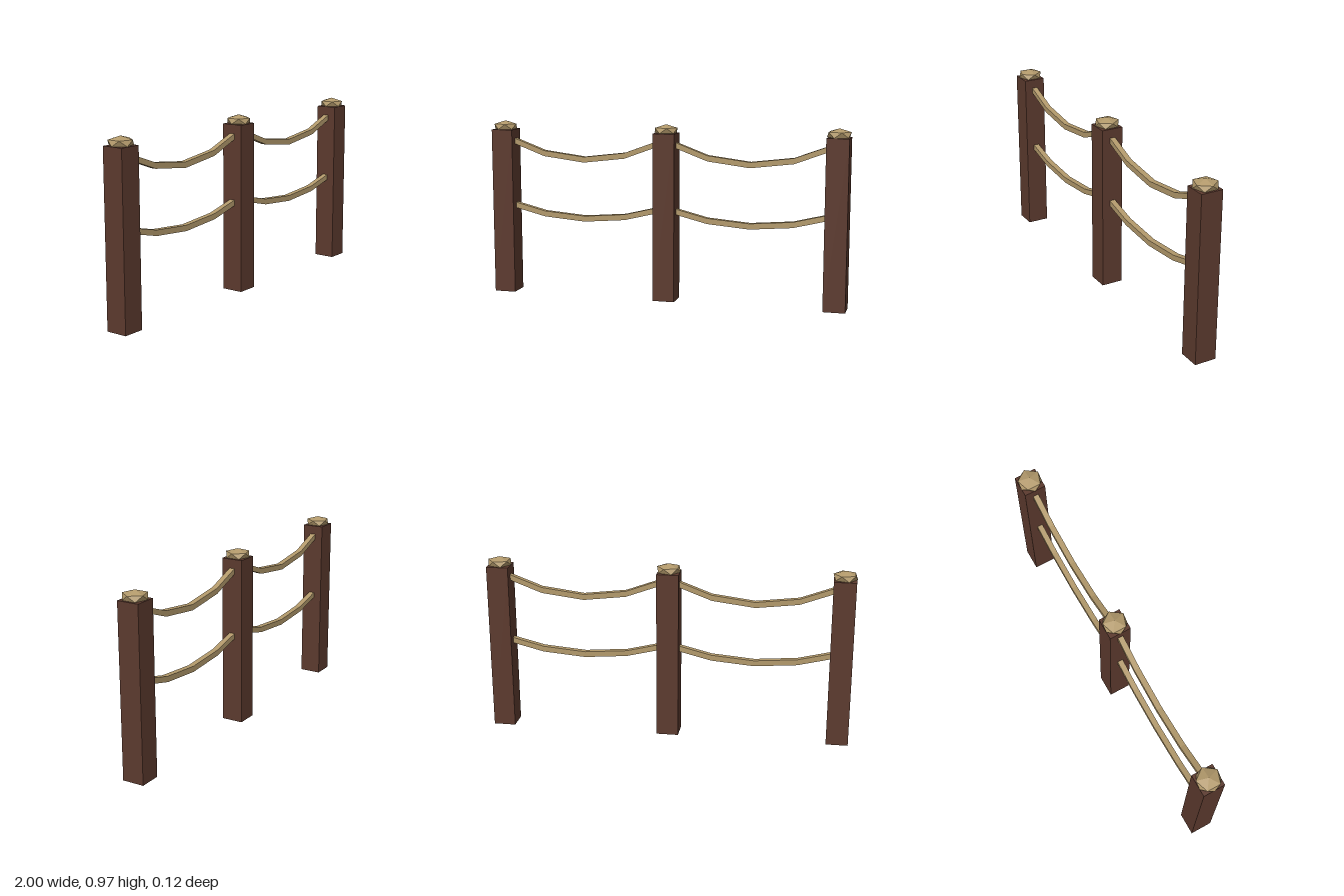
import * as THREE from 'three';

const SPACING = 0.936;
const POST_HEIGHT = 0.924;
const POST_WIDTH = 0.12;
const ROPE = 0.031;

// Sagging strip of straight segments, extruded to a square section
function ropeGeometry(endY, sag, segments = 4) {
  const top = [], bottom = [];
  for (let i = 0; i <= segments; i++) {
    const u = (i / segments) * 2 - 1;
    const x = u * SPACING / 2;
    const y = endY - sag * (1 - u * u);
    top.push(new THREE.Vector2(x, y + ROPE / 2));
    bottom.unshift(new THREE.Vector2(x, y - ROPE / 2));
  }
  const shape = new THREE.Shape([...top, ...bottom]);
  return new THREE.ExtrudeGeometry(shape, { depth: ROPE, bevelEnabled: false }).translate(0, 0, -ROPE / 2);
}

export function createModel() {
  const model = new THREE.Group();
  model.name = 'ropeFence';

  const wood = new THREE.MeshStandardMaterial({ color: 0x5c3a2e });
  wood.name = 'darkWood';
  const hemp = new THREE.MeshStandardMaterial({ color: 0xb2996b });
  hemp.name = 'hempRope';

  const add = (name, geometry, material, x) => {
    const mesh = new THREE.Mesh(geometry, material);
    mesh.name = name;
    mesh.position.x = x;
    model.add(mesh);
  };

  const postGeometry = new THREE.BoxGeometry(POST_WIDTH, POST_HEIGHT, POST_WIDTH)
    .translate(0, POST_HEIGHT / 2, 0);

  // Flattened faceted knob with one corner turned straight up
  const capGeometry = new THREE.IcosahedronGeometry(0.0715, 0)
    .rotateZ(-Math.atan2(2, 1 + Math.sqrt(5)))
    .scale(1, 0.45, 1)
    .translate(0, 0.94, 0);

  ['rightPost', 'middlePost', 'leftPost'].forEach((name, i) => {
    const x = (i - 1) * SPACING;
    add(name, postGeometry, wood, x);
    add(name + 'Cap', capGeometry, hemp, x);
  });

  // Two ropes in each of the two bays
  const upper = ropeGeometry(0.881, 0.116);
  const lower = ropeGeometry(0.51, 0.077);
  for (const [side, sign] of [['right', -1], ['left', 1]]) {
    add(side + 'UpperRope', upper, hemp, sign * SPACING / 2);
    add(side + 'LowerRope', lower, hemp, sign * SPACING / 2);
  }
  return model;
}
